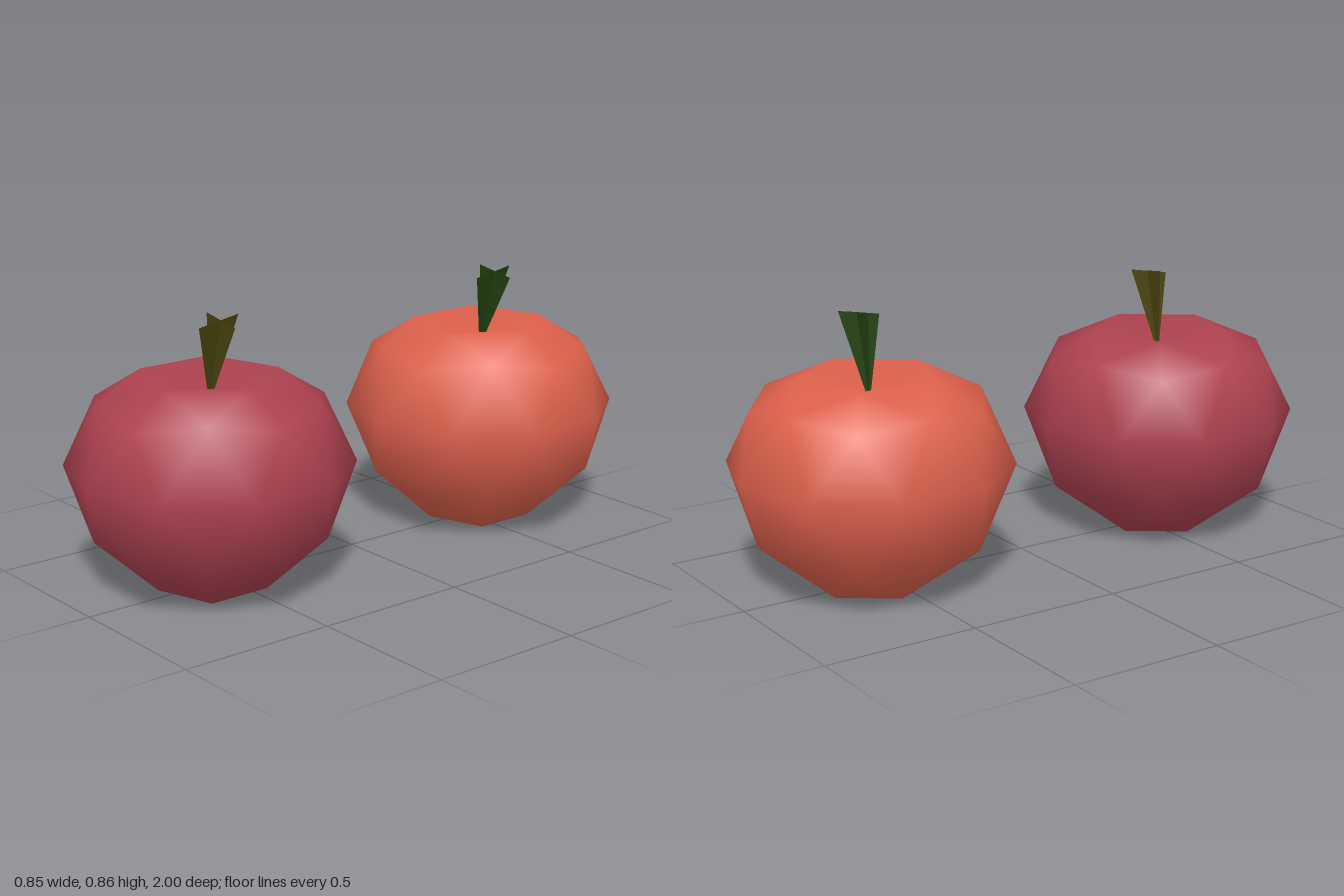
import * as THREE from 'three';
import { mergeVertices } from 'three/addons/utils/BufferGeometryUtils.js';

const mat = (name, color, side = THREE.FrontSide) =>
  Object.assign(new THREE.MeshStandardMaterial({ color, side }), { name });

// One half of a five-fold faceted ball, from the dimple down to the equator.
// side is 1 for the top; -1 turns the half over (x is mirrored with y).
function halfFaces(out, side, pole, inner, corner, mid, equator) {
  const at = ([r, y], deg) => {
    const t = THREE.MathUtils.degToRad(deg);
    return [side * r * Math.cos(t), y, r * Math.sin(t)];
  };
  const p = at(pole, 0);
  const a = k => at(inner, 72 * k);
  const v = k => at(corner, 72 * k);
  const m = k => at(mid, 72 * k + 36);
  const e = j => at(equator, 36 * j + 18);
  for (let k = 0; k < 5; k++) {
    const faces = [
      [p, a(k + 1), a(k)],
      [a(k), a(k + 1), m(k)],
      [a(k), m(k), v(k)],
      [a(k + 1), v(k + 1), m(k)],
      [v(k), m(k), e(2 * k)],
      [m(k), e(2 * k + 1), e(2 * k)],
      [m(k), v(k + 1), e(2 * k + 1)],
      [v(k), e(2 * k), e(2 * k - 1)],
    ];
    out.push(...faces.flat(2));
  }
}

// Fruit body, dimpled at both ends; each ring is [radius, height]
function bodyGeometry() {
  const pos = [];
  const equator = [0.446, 0.39];
  halfFaces(pos, 1, [0, 0.575], [0.22, 0.67], [0.37, 0.575], [0.35, 0.605], equator);
  halfFaces(pos, -1, [0, 0.09], [0.175, 0], [0.37, 0.18], [0.355, 0.145], equator);
  const g = new THREE.BufferGeometry();
  g.setAttribute('position', new THREE.Float32BufferAttribute(pos, 3));
  const smooth = mergeVertices(g);
  smooth.computeVertexNormals();
  return smooth;
}

// Stem: two crossed triangular blades flaring up from the dimple
function stemGeometry() {
  const tip = [0, 0.575, 0];
  const pos = [
    tip, [0.14, 0.835, 0], [-0.004, 0.857, 0],
    tip, [0.065, 0.832, 0.077], [0.07, 0.857, -0.063],
  ].flat();
  const g = new THREE.BufferGeometry();
  g.setAttribute('position', new THREE.Float32BufferAttribute(pos, 3));
  g.computeVertexNormals();
  return g;
}

export function createModel() {
  const model = new THREE.Group();
  model.name = 'fruitPair';
  const body = bodyGeometry();
  const stem = stemGeometry();

  const fruits = [
    ['redFruit', 0.553, mat('crimson skin', 0xae4250), mat('olive stem', 0x48420e, THREE.DoubleSide)],
    ['orangeFruit', -0.553, mat('orange skin', 0xde614c), mat('green stem', 0x223f0e, THREE.DoubleSide)],
  ];
  for (const [name, z, skin, stalk] of fruits) {
    const fruit = new THREE.Group();
    fruit.name = name;
    fruit.position.z = z;
    const bodyMesh = new THREE.Mesh(body, skin);
    bodyMesh.name = 'body';
    const stemMesh = new THREE.Mesh(stem, stalk);
    stemMesh.name = 'stem';
    fruit.add(bodyMesh, stemMesh);
    model.add(fruit);
  }
  return model;
}
